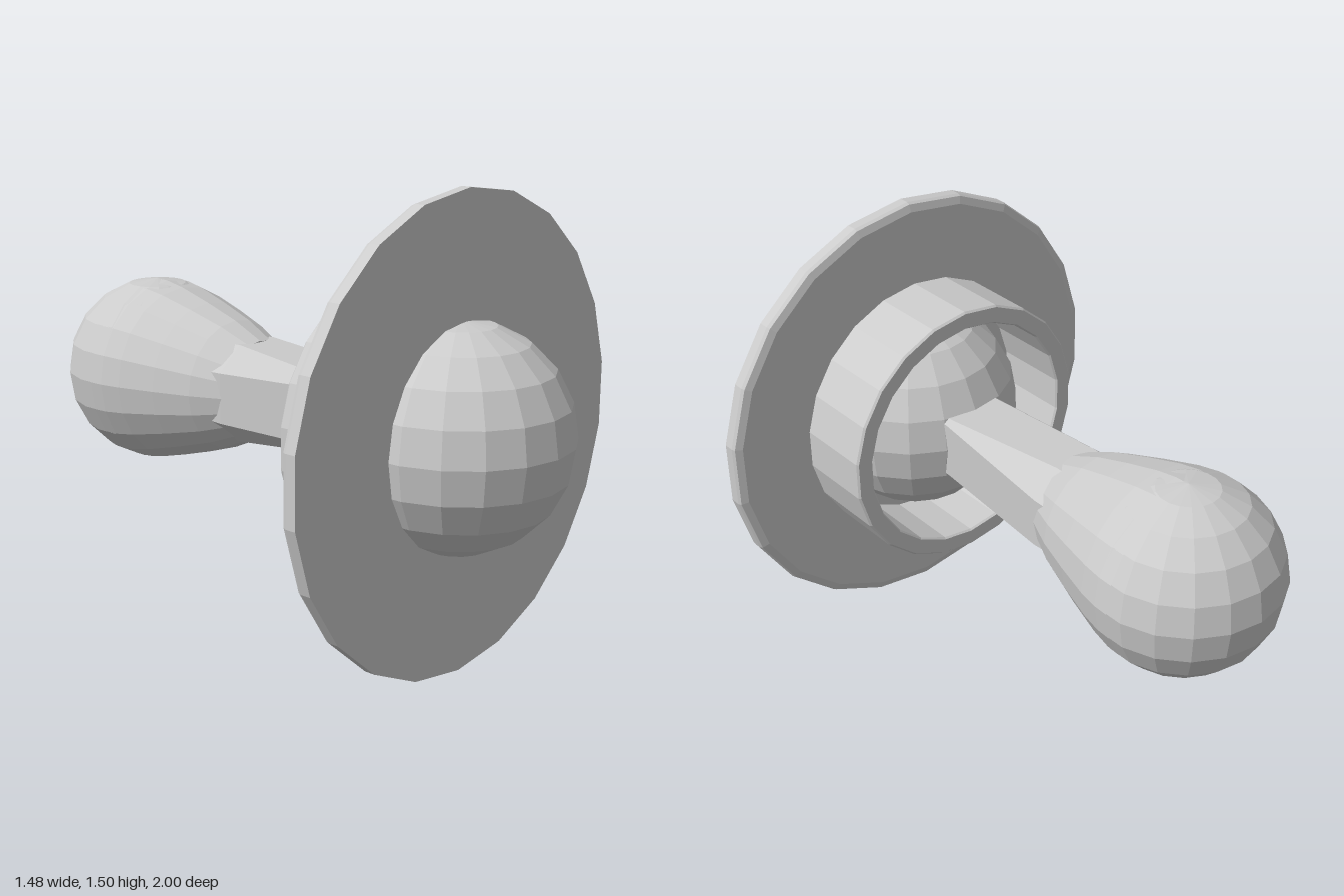
import * as THREE from 'three';

const MID = 0.75; // height of the common axis

export function createModel() {
  const group = new THREE.Group();
  const material = new THREE.MeshStandardMaterial({ color: 0xcccccc, flatShading: true });

  const add = (name, geometry, z = 0) => {
    const mesh = new THREE.Mesh(geometry, material);
    mesh.name = name;
    mesh.position.set(0, MID, z);
    group.add(mesh);
  };
  // Profile of [radius, z], turned about the z axis
  const turned = (profile, sides) =>
    new THREE.LatheGeometry(profile.map(([r, z]) => new THREE.Vector2(r, z)), sides).rotateX(Math.PI / 2);
  const ball = (radius) => new THREE.SphereGeometry(radius, 18, 10).rotateY(Math.PI / 2);

  // Mouth shield with a softened back edge
  add('shield', turned([[0, 0.607], [0.72, 0.61], [0.745, 0.618], [0.75, 0.63], [0.75, 0.665], [0, 0.665]], 22));

  // Hollow collar behind the shield
  add('collar', turned([[0.4, 0.62], [0.4, 0.345], [0.405, 0.338], [0.457, 0.338], [0.463, 0.345], [0.463, 0.62]], 22));

  // Ball passing through the shield
  add('frontBall', ball(0.36), 0.64);

  // Rounded knob and its taper into the handle
  add('knob', ball(0.318), -0.682);
  add('knobTaper', turned([[0.316, -0.682], [0.314, -0.63], [0.3, -0.557], [0.263, -0.43],
    [0.22, -0.3], [0.168, -0.185], [0, -0.17]], 20));

  // Eight-sided handle: octagonal at the knob, nearly square at the ball
  const section = (a, b, c, d, z) =>
    [[c, -d], [c, d], [a, b], [-a, b], [-c, d], [-c, -d], [-a, -b], [a, -b]].map(([x, y]) => [x, y, z]);
  const sections = [
    section(0.078, 0.16, 0.17, 0.08, -0.32),
    section(0.08, 0.165, 0.173, 0.085, -0.2),
    section(0.1, 0.113, 0.12, 0.097, 0.3),
    section(0.1, 0.108, 0.116, 0.097, 0.38),
  ];
  const index = [];
  for (let s = 0; s < sections.length - 1; s++) {
    for (let i = 0; i < 8; i++) {
      const a = s * 8 + i, b = s * 8 + (i + 1) % 8;
      index.push(a, b, b + 8, a, b + 8, a + 8);
    }
  }
  const handle = new THREE.BufferGeometry();
  handle.setAttribute('position', new THREE.Float32BufferAttribute(sections.flat(2), 3));
  handle.setIndex(index);
  handle.computeVertexNormals();
  add('handle', handle);

  return group;
}
